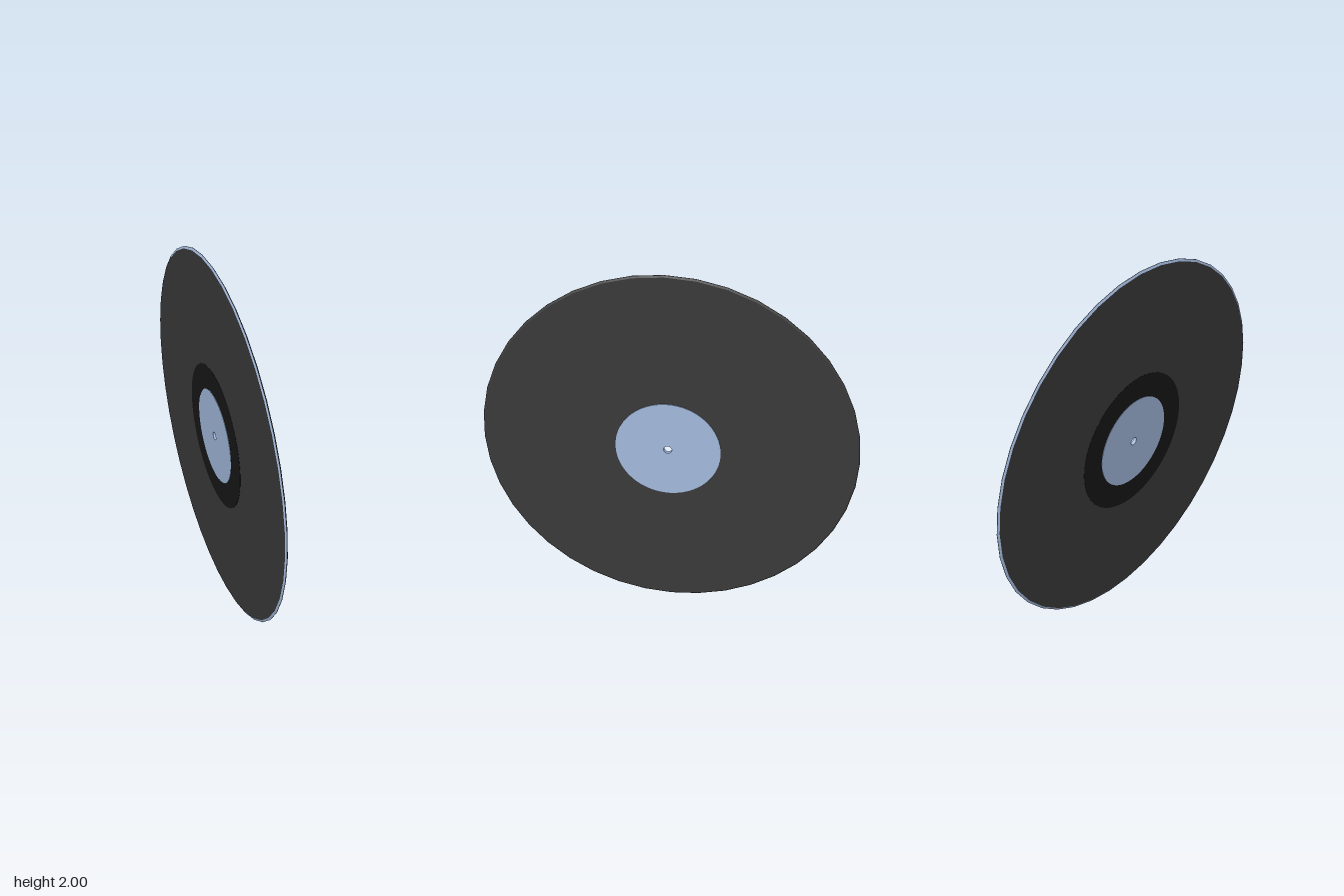
import * as THREE from 'three';

const mat = (name, color) => {
  const m = new THREE.MeshStandardMaterial({ color });
  m.name = name;
  return m;
};

export function createModel() {
  const vinyl = mat('vinylBlack', 0x3a3a3a);
  const dark = mat('innerBlack', 0x171717);
  const blue = mat('labelBlue', 0xa3bade);

  const model = new THREE.Group();
  model.name = 'record';
  const disc = new THREE.Group();
  disc.name = 'tiltedDisc';
  model.add(disc);

  // Each pair of profile points becomes its own crisp band around the disc axis
  const ring = (name, material, sides, profile) => {
    const part = new THREE.Group();
    part.name = name;
    for (let i = 0; i + 1 < profile.length; i++) {
      const pts = [profile[i], profile[i + 1]].map(([r, h]) => new THREE.Vector2(r, h));
      const band = new THREE.Mesh(new THREE.LatheGeometry(pts, sides), material);
      band.name = name + 'Band';
      part.add(band);
    }
    disc.add(part);
  };

  const H = 0.0065, HOLE = 0.022;

  // Back face, coloured bevel, then the front half of the rim and front face
  ring('backFace', vinyl, 40, [[0.3, -H], [0.988, -H]]);
  ring('rimStripe', blue, 40, [[0.988, -H], [1, -0.001]]);
  ring('frontFace', vinyl, 40, [[1, -0.001], [1, 0.001], [0.99, H], [0.2, H]]);

  // Dark run-out ring on the back
  ring('runOutRing', dark, 64, [[0.2, -H - 0.001], [0.39, -H - 0.001], [0.39, -H]]);

  // Labels on both sides, joined by the spindle hole
  ring('backLabel', blue, 64, [[HOLE, -H - 0.003], [0.256, -H - 0.003], [0.256, -H]]);
  ring('frontLabel', blue, 64, [[0.28, H], [0.28, H + 0.004], [HOLE, H + 0.004]]);
  ring('spindleHole', blue, 24, [[HOLE, H + 0.004], [HOLE, -H - 0.003]]);

  // Stand the disc on edge with a slight lean
  const axis = new THREE.Vector3(1, 0.025, 0.025).normalize();
  disc.quaternion.setFromUnitVectors(new THREE.Vector3(0, 1, 0), axis);
  disc.position.y = 1;
  return model;
}
